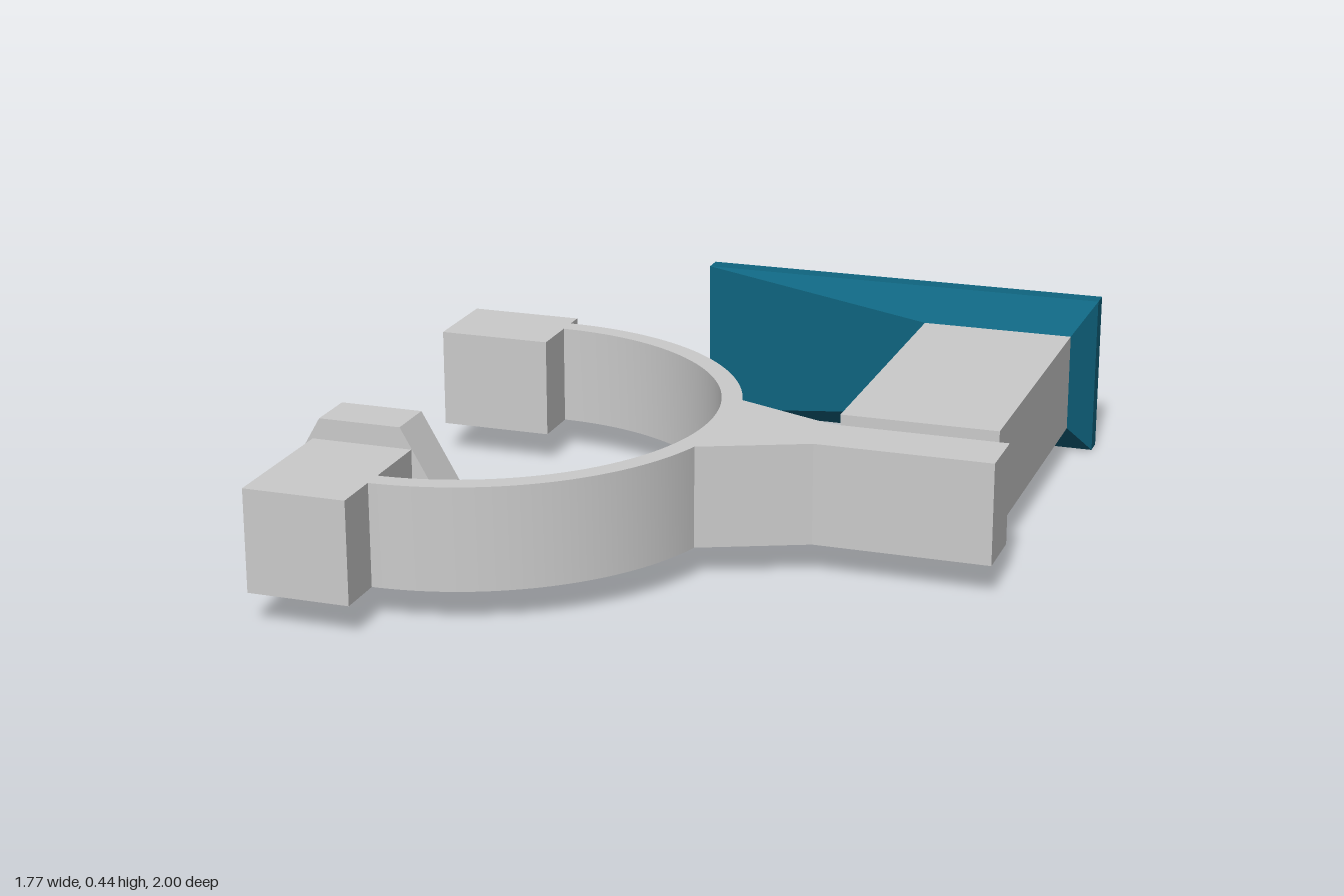
import * as THREE from 'three';
import { toCreasedNormals } from 'three/addons/utils/BufferGeometryUtils.js';

const BOTTOM = 0.085, TOP = 0.355, MID = 0.22;

export function createModel() {
  const group = new THREE.Group();
  const grey = new THREE.MeshStandardMaterial({ color: 0xcccccc });
  const teal = new THREE.MeshStandardMaterial({ color: 0x0f6580 });

  const add = (name, geometry, material = grey) => {
    const mesh = new THREE.Mesh(geometry, material);
    mesh.name = name;
    group.add(mesh);
    return mesh;
  };

  // Box given by its limits on each axis
  const box = (name, x0, x1, z0, z1, y0 = BOTTOM, y1 = TOP) =>
    add(name, new THREE.BoxGeometry(x1 - x0, y1 - y0, z1 - z0))
      .position.set((x0 + x1) / 2, (y0 + y1) / 2, (z0 + z1) / 2);

  // Half-ring yoke with a tapered neck and a straight arm (shape y becomes z)
  const cx = -0.545, cz = 0.165, outer = 0.703, inner = 0.648, joint = 0.284;
  const yoke = new THREE.Shape();
  yoke.moveTo(cx, cz - outer);
  yoke.absarc(cx, cz, outer, -Math.PI / 2, -joint, false);
  yoke.lineTo(0.405, 0.083);
  yoke.lineTo(0.87, 0.083);
  yoke.lineTo(0.87, 0.245);
  yoke.lineTo(0.405, 0.245);
  yoke.absarc(cx, cz, outer, joint, Math.PI / 2, false);
  yoke.absarc(cx, cz, inner, Math.PI / 2, -Math.PI / 2, true);
  const yokeGeometry = new THREE.ExtrudeGeometry(yoke, {
    depth: TOP - BOTTOM, bevelEnabled: false, curveSegments: 32,
  });
  yokeGeometry.rotateX(Math.PI / 2);
  add('yoke', toCreasedNormals(yokeGeometry, 0.3)).position.y = TOP;

  // Blocks on the two ends of the yoke
  box('backEndBlock', -0.855, -0.545, -0.59, -0.345);
  box('frontEndBlock', -0.8, -0.53, 0.61, 1);

  // Hexagonal pad on the front end block, corners pointing sideways
  const pad = new THREE.CylinderGeometry(0.22, 0.22, 0.135, 6);
  pad.rotateY(Math.PI / 2).rotateX(Math.PI / 2);
  add('hexPad', toCreasedNormals(pad, 0.3)).position.set(-0.67, MID, 0.5425);

  // Square pin joining the arm to the long block
  box('pin', 0.57, 0.66, -0.01, 0.09, 0.178, 0.262);
  box('longBlock', 0.405, 0.825, -0.867, 0);

  // Back plate: a thin slab that tapers forward to the long block
  box('backPlate', -0.265, 0.883, -1, -0.948, 0, 0.44);
  const rect = (x0, x1, y0, y1, z) => [[x0, y0, z], [x1, y0, z], [x1, y1, z], [x0, y1, z]];
  const back = rect(-0.265, 0.883, 0, 0.44, -0.948);
  const front = rect(0.405, 0.825, BOTTOM, TOP, -0.867);
  const corners = [];
  const quad = (a, b, c, d) => corners.push(...a, ...b, ...c, ...a, ...c, ...d);
  for (let i = 0; i < 4; i++) {
    const j = (i + 1) % 4;
    quad(back[i], back[j], front[j], front[i]);
  }
  quad(...front);
  const taper = new THREE.BufferGeometry();
  taper.setAttribute('position', new THREE.Float32BufferAttribute(corners, 3));
  taper.computeVertexNormals();
  add('plateTaper', taper, teal);
  group.getObjectByName('backPlate').material = teal;

  return group;
}
